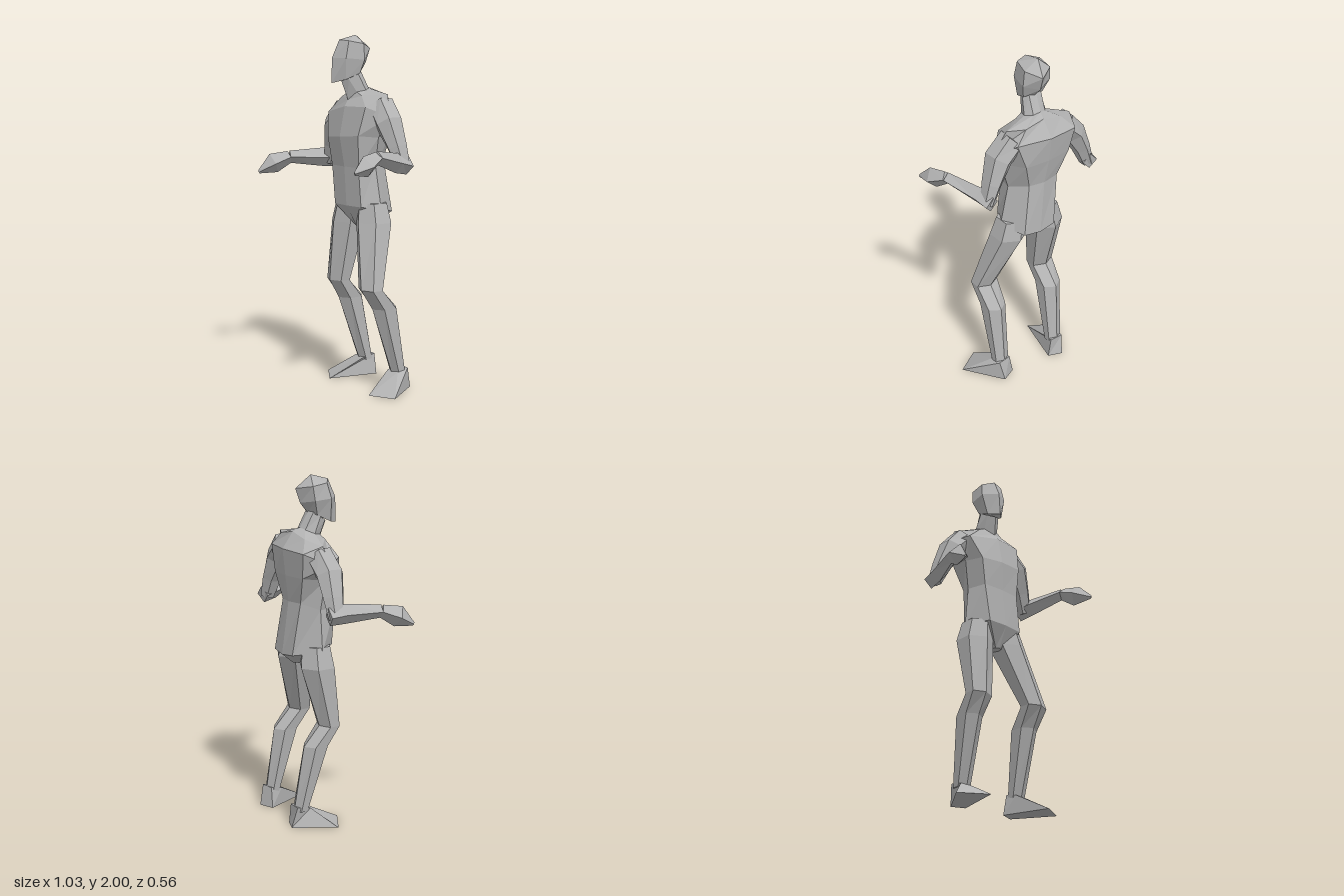
import * as THREE from 'three';

const grey = new THREE.MeshStandardMaterial({ color: 0xb2b2b2, flatShading: true });
grey.name = 'clay grey';

// Skin a list of point rings (each ring runs counter-clockwise about the travel direction)
function loft(name, rings) {
  const pos = [];
  const tri = (a, b, c) => pos.push(...a, ...b, ...c);
  const n = rings[0].length;
  for (let r = 0; r + 1 < rings.length; r++) {
    const lo = rings[r], hi = rings[r + 1];
    for (let i = 0; i < n; i++) {
      const j = (i + 1) % n;
      tri(lo[i], lo[j], hi[j]);
      tri(lo[i], hi[j], hi[i]);
    }
  }
  const first = rings[0], last = rings[rings.length - 1];
  for (let i = 1; i + 1 < n; i++) {
    tri(first[0], first[i + 1], first[i]);
    tri(last[0], last[i], last[i + 1]);
  }
  const g = new THREE.BufferGeometry();
  g.setAttribute('position', new THREE.Float32BufferAttribute(pos, 3));
  g.computeVertexNormals();
  const mesh = new THREE.Mesh(g, grey);
  mesh.name = name;
  return mesh;
}

// Level six-sided sections: [x, y, z, half width, half depth], listed upwards
const levelRings = (stations) => stations.map(([x, y, z, w, d]) =>
  Array.from({ length: 6 }, (_, i) => {
    const a = (i * Math.PI) / 3;
    return [x + (w * Math.sin(a)) / 0.866, y, z + d * Math.cos(a)];
  }));

// Sections square to a path: [x, y, z, half size across, half size along ref]
function pathRings(stations, ref, sides) {
  const p = stations.map((s) => new THREE.Vector3(s[0], s[1], s[2]));
  return stations.map((s, k) => {
    const t = p[Math.min(k + 1, p.length - 1)].clone().sub(p[Math.max(k - 1, 0)]).normalize();
    const u = ref.clone().addScaledVector(t, -ref.dot(t)).normalize();
    const v = t.clone().cross(u);
    return Array.from({ length: sides }, (_, i) => {
      const a = (i * 2 * Math.PI) / sides;
      return p[k].clone().addScaledVector(u, s[4] * Math.cos(a))
        .addScaledVector(v, s[3] * Math.sin(a)).toArray();
    });
  });
}

// Body rings run: front, front left, left, back left, back, back right, right, front right
const hips = [[.045, 1.04, .015], [.165, 1.04, 0], [.22, 1.03, -.1], [.15, 1, -.23],
  [.05, .99, -.245], [-.05, 1, -.24], [-.16, 1.02, -.11], [-.075, 1.04, .01]];
const crotch = [[.05, .92, -.05], [.07, .92, -.06], [.085, .92, -.1], [.07, .93, -.15],
  [.05, .93, -.17], [.03, .93, -.15], [.015, .92, -.1], [.03, .92, -.06]];
const waist = [[.02, 1.26, .012], [.14, 1.26, 0], [.165, 1.27, -.1], [.1, 1.3, -.205],
  [.01, 1.3, -.225], [-.09, 1.3, -.21], [-.14, 1.26, -.11], [-.11, 1.26, .005]];
const ribs = [[0, 1.43, .03], [.15, 1.44, .01], [.205, 1.43, -.09], [.14, 1.45, -.23],
  [0, 1.45, -.25], [-.15, 1.45, -.235], [-.17, 1.43, -.1], [-.14, 1.42, .015]];
const chest = [[0, 1.6, -.005], [.17, 1.6, -.025], [.27, 1.55, -.12], [.19, 1.6, -.22],
  [0, 1.6, -.268], [-.18, 1.59, -.25], [-.27, 1.53, -.13], [-.2, 1.56, -.03]];
const shoulders = [[-.005, 1.635, -.03], [.08, 1.66, -.065], [.21, 1.67, -.15], [.12, 1.67, -.2],
  [0, 1.69, -.2], [-.12, 1.66, -.2], [-.22, 1.63, -.15], [-.1, 1.65, -.055]];
const neckBase = [[-.005, 1.635, -.03], [.04, 1.68, -.06], [.06, 1.69, -.11], [.03, 1.7, -.15],
  [-.01, 1.71, -.16], [-.05, 1.7, -.15], [-.085, 1.68, -.11], [-.06, 1.67, -.06]];
const neckTop = [[-.025, 1.74, 0], [.015, 1.755, -.02], [.04, 1.78, -.07], [.02, 1.8, -.1],
  [-.02, 1.8, -.11], [-.06, 1.8, -.1], [-.08, 1.77, -.07], [-.065, 1.75, -.03]];

// Head rings run: front, front left, back left, back, back right, front right
const jaw = [[-.04, 1.73, .058], [.02, 1.75, 0], [.042, 1.785, -.08], [-.01, 1.79, -.11],
  [-.08, 1.78, -.09], [-.085, 1.74, -.005]];
const face = [[-.045, 1.87, .052], [.035, 1.87, .01], [.06, 1.86, -.1], [-.01, 1.845, -.158],
  [-.105, 1.86, -.12], [-.115, 1.87, -.02]];
const brow = [[-.04, 1.972, .005], [.03, 1.966, -.012], [.05, 1.95, -.1], [-.005, 1.925, -.185],
  [-.098, 1.94, -.13], [-.1, 1.955, -.04]];
const crown = brow.map(() => [-.035, 2, -.105]);

const limbs = {
  left: {
    leg: [[.288, .09, -.172, .043, .042], [.272, .475, -.085, .06, .082], [.265, .59, .005, .07, .065],
      [.157, .95, -.095, .093, .108], [.135, 1.06, -.1, .078, .09]],
    sole: [[.32, 0, .058], [.46, 0, -.02], [.31, 0, -.245], [.225, 0, -.21]],
    ankle: [[.25, .105, -.13], [.33, .105, -.14], [.325, .12, -.215], [.245, .12, -.205]],
    upperArm: [[.16, 1.6, -.14, .08, .08], [.25, 1.51, -.13, .075, .085], [.31, 1.38, -.145, .05, .065],
      [.35, 1.27, -.155, .038, .045]],
    forearm: [[.343, 1.28, -.19, .045, .05], [.36, 1.3, -.1, .045, .055], [.435, 1.345, .09, .036, .036]],
    hand: [[.435, 1.345, .09, .036, .036], [.46, 1.305, .185, .056, .06], [.488, 1.275, .277, .006, .01]],
  },
  right: {
    leg: [[-.083, .09, -.212, .043, .042], [-.11, .475, -.122, .06, .082], [-.113, .585, -.04, .07, .062],
      [-.093, .93, -.1, .092, .108], [-.075, 1.05, -.1, .078, .09]],
    sole: [[-.25, 0, -.06], [-.09, 0, .04], [-.02, 0, -.25], [-.1, 0, -.283]],
    ankle: [[-.125, .105, -.17], [-.042, .105, -.17], [-.04, .12, -.25], [-.12, .12, -.255]],
    upperArm: [[-.17, 1.57, -.14, .08, .08], [-.26, 1.48, -.13, .07, .085], [-.315, 1.36, -.145, .05, .065],
      [-.355, 1.25, -.155, .038, .045]],
    forearm: [[-.348, 1.27, -.195, .045, .05], [-.365, 1.28, -.1, .045, .055], [-.433, 1.285, .09, .036, .036]],
    hand: [[-.433, 1.285, .09, .036, .036], [-.464, 1.25, .183, .058, .06], [-.488, 1.2, .27, .006, .01]],
  },
};

export function createModel() {
  const model = new THREE.Group();
  model.name = 'standingFigure';
  const up = new THREE.Vector3(0, 1, 0), ahead = new THREE.Vector3(0, 0, 1);

  model.add(
    loft('pelvis', [crotch, hips]),
    loft('torso', [hips, waist, ribs, chest, shoulders, neckBase]),
    loft('neck', [neckBase, neckTop]),
    loft('head', [jaw, face, brow, crown]),
  );

  for (const [side, limb] of Object.entries(limbs)) {
    model.add(
      loft(side + 'Leg', levelRings(limb.leg)),
      loft(side + 'Foot', [limb.sole, limb.ankle]),
      loft(side + 'UpperArm', pathRings(limb.upperArm, ahead, 6)),
      loft(side + 'Forearm', pathRings(limb.forearm, up, 4)),
      loft(side + 'Hand', pathRings(limb.hand, up, 4)),
    );
  }
  return model;
}
